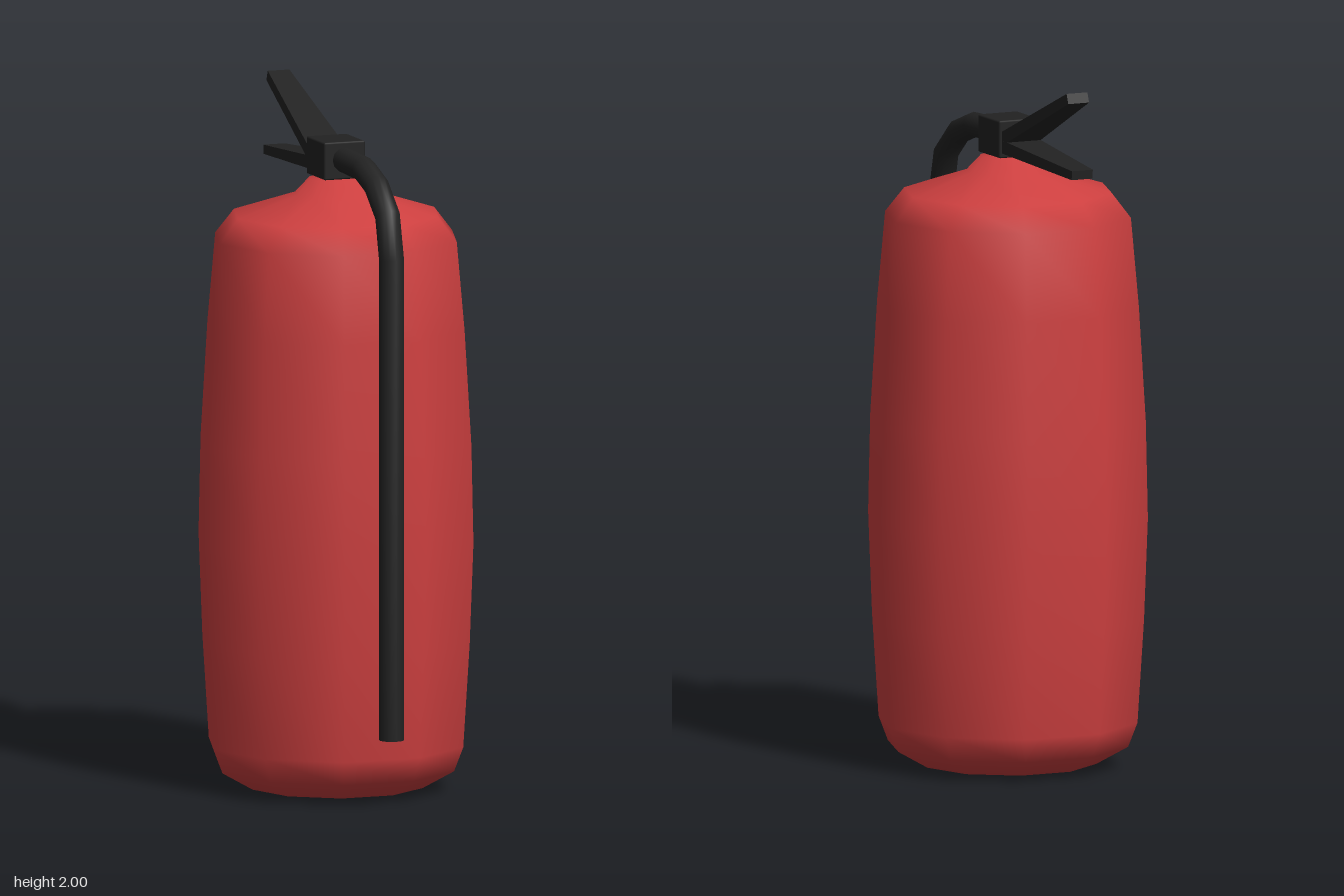
import * as THREE from 'three';
import { RoundedBoxGeometry } from 'three/addons/geometries/RoundedBoxGeometry.js';

// Polyline with mitred corners, sampled exactly at its points
class Polyline extends THREE.Curve {
  constructor(points) { super(); this.points = points; }
  getPoint(t, target = new THREE.Vector3()) {
    const n = this.points.length - 1;
    const i = Math.min(Math.floor(t * n + 1e-6), n - 1);
    return target.lerpVectors(this.points[i], this.points[i + 1], t * n - i);
  }
  getPointAt(t, target) { return this.getPoint(t, target); }
  getTangentAt(t, target = new THREE.Vector3()) {
    const p = this.points, n = p.length - 1, i = Math.round(t * n);
    target.set(0, 0, 0);
    if (i > 0) target.add(p[i].clone().sub(p[i - 1]).normalize());
    if (i < n) target.add(p[i + 1].clone().sub(p[i]).normalize());
    return target.normalize();
  }
}

// Tapered bar running back from the valve; each end gives z/y of its top and bottom edge
function lever(start, end) {
  const geo = new THREE.BoxGeometry(1, 1, 1);
  const pos = geo.attributes.position;
  for (let i = 0; i < pos.count; i++) {
    const e = pos.getZ(i) > 0 ? start : end;
    const [z, y] = pos.getY(i) > 0 ? e.top : e.bottom;
    pos.setXYZ(i, Math.sign(pos.getX(i)) * e.half, y, z);
  }
  geo.computeVertexNormals();
  return geo;
}

export function createModel() {
  const model = new THREE.Group();
  const red = new THREE.MeshStandardMaterial({ color: 0xcc3f3f });
  red.name = 'red paint';
  const black = new THREE.MeshStandardMaterial({ color: 0x222222 });
  black.name = 'black rubber';

  const add = (name, geometry, material) => {
    const mesh = new THREE.Mesh(geometry, material);
    mesh.name = name;
    model.add(mesh);
    return mesh;
  };

  // Ten-sided tank, slightly bulging, with a shoulder and neck
  const profile = [
    [0, 0], [0.065, 0.001], [0.255, 0.008], [0.347, 0.06], [0.374, 0.13],
    [0.393, 0.43], [0.404, 0.72], [0.398, 1.0], [0.378, 1.33],
    [0.355, 1.585], [0.3, 1.655], [0.12, 1.712], [0.078, 1.757], [0, 1.765],
  ].map(([r, y]) => new THREE.Vector2(r, y));
  const tank = add('tank', new THREE.LatheGeometry(profile, 10, Math.PI / 2), red);
  tank.position.z = 0.007;

  // Valve block on the neck
  const valve = add('valve', new RoundedBoxGeometry(0.126, 0.108, 0.14, 1, 0.005), black);
  valve.position.set(0.001, 1.815, 0.003);

  // Hose out of the valve and down the front
  const path = [
    [1.818, 0.05], [1.813, 0.222], [1.778, 0.322],
    [1.705, 0.407], [1.58, 0.439], [0.2, 0.439],
  ].map(([y, z]) => new THREE.Vector3(0, y, z));
  add('hose', new THREE.TubeGeometry(new Polyline(path), path.length - 1, 0.036, 12), black);
  const cap = add('hoseEnd', new THREE.CircleGeometry(0.036, 12), black);
  cap.rotation.x = Math.PI / 2;
  cap.position.set(0, 0.2, 0.439);

  // Squeeze lever and carrying handle
  add('upperLever', lever(
    { top: [-0.05, 1.831], bottom: [-0.05, 1.79], half: 0.056 },
    { top: [-0.439, 2.0], bottom: [-0.45, 1.972], half: 0.033 }), black);
  add('lowerHandle', lever(
    { top: [-0.05, 1.814], bottom: [-0.05, 1.776], half: 0.056 },
    { top: [-0.474, 1.782], bottom: [-0.472, 1.756], half: 0.033 }), black);

  return model;
}
